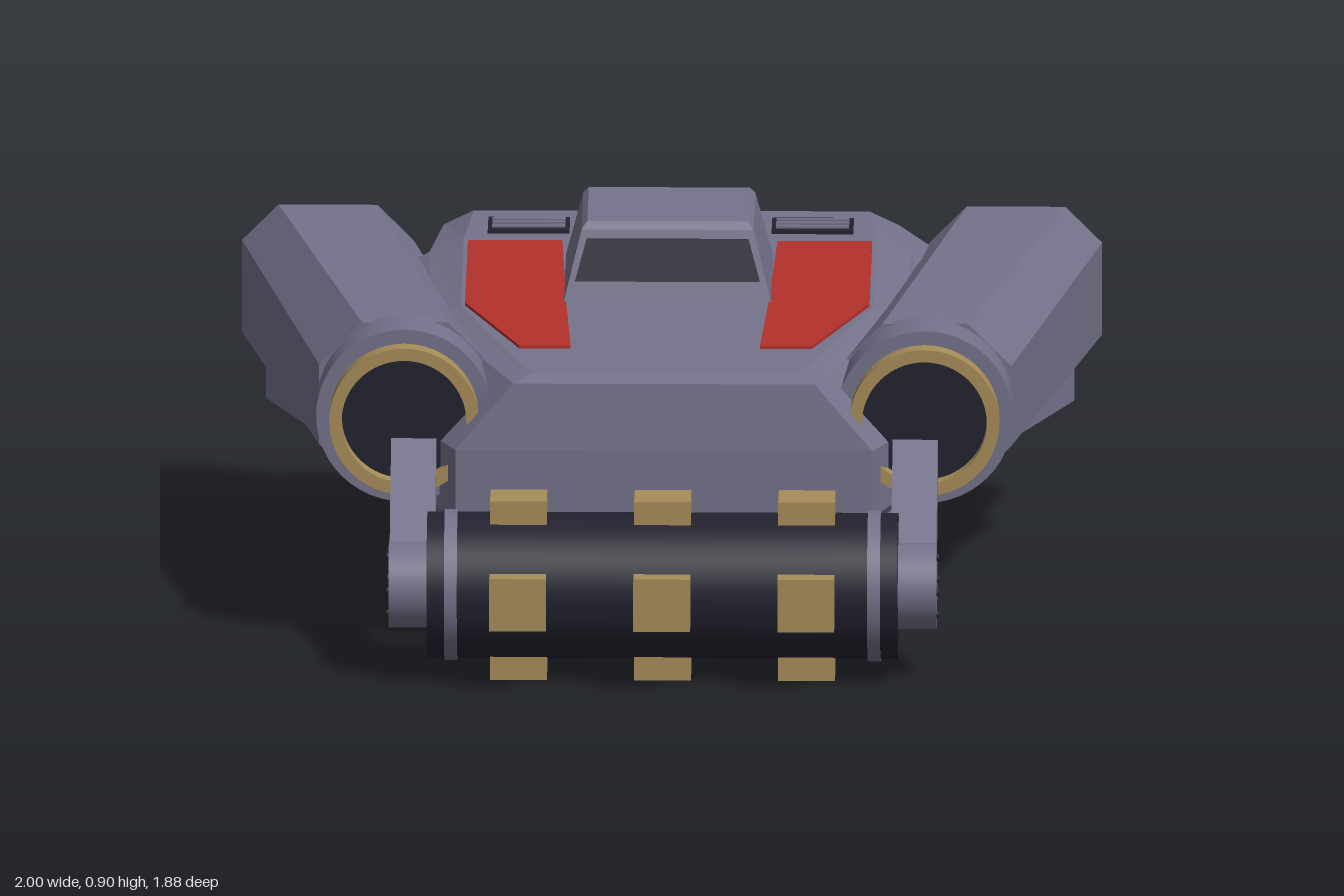
import * as THREE from 'three';

const mat = (name, color) => Object.assign(new THREE.MeshStandardMaterial({ color }), { name });

// Flat-shaded loft through rings of [x, y, z]; caps are strips joining point i to n-1-i
function loft(rings) {
  const n = rings[0].length, tris = [];
  const quad = (a, b, c, d) => tris.push([a, b, c], [a, c, d]);
  for (let r = 0; r < rings.length - 1; r++)
    for (let i = 0; i < n; i++) {
      const j = (i + 1) % n;
      quad(rings[r][i], rings[r][j], rings[r + 1][j], rings[r + 1][i]);
    }
  const first = rings[0], last = rings[rings.length - 1];
  for (let i = 0; i < n / 2 - 1; i++) {
    quad(first[n - 1 - i], first[n - 2 - i], first[i + 1], first[i]);
    quad(last[i], last[i + 1], last[n - 2 - i], last[n - 1 - i]);
  }
  // Turn all faces outward using the signed volume
  let volume = 0;
  const v = (p) => new THREE.Vector3(...p);
  for (const [a, b, c] of tris) volume += v(a).dot(v(b).cross(v(c)));
  if (volume < 0) tris.forEach((t) => t.reverse());
  const geo = new THREE.BufferGeometry();
  geo.setAttribute('position', new THREE.Float32BufferAttribute(tris.flat(2), 3));
  geo.computeVertexNormals();
  return geo;
}

// Closed symmetric ring from one side's points
const mirrored = (half) => [...half, ...half.slice().reverse().map(([x, y, z]) => [-x, y, z])];

// Height of the sloping deck
const deckY = (z) => (z > -0.6 ? 0.695 - 0.067 * (z + 0.02) : 0.734 - 0.02 * (z + 0.6));

export function createModel() {
  const grey = mat('hull grey', 0x74728a);
  const dark = mat('dark rubber', 0x222230);
  const gold = mat('brass', 0xa68c58);
  const red = mat('red paint', 0xb2302a);

  const model = new THREE.Group();
  model.name = 'rollerVehicle';
  const add = (name, geo, material, x = 0, y = 0, z = 0, parent = model) => {
    const mesh = new THREE.Mesh(geo, material);
    mesh.name = name;
    mesh.position.set(x, y, z);
    parent.add(mesh);
    return mesh;
  };
  const box = (w, h, d) => new THREE.BoxGeometry(w, h, d);
  const drumX = (r, len, sides = 40) => new THREE.CylinderGeometry(r, r, len, sides).rotateZ(Math.PI / 2);
  const drumZ = (r, len, sides = 48) => new THREE.CylinderGeometry(r, r, len, sides).rotateX(Math.PI / 2);

  // Hull: underside, belt, shoulder and deck outlines
  add('hull', loft([
    mirrored([[0.46, 0.285, 0.48], [0.7, 0.322, -0.04], [0.94, 0.35, -0.6], [0.62, 0.35, -0.94]]),
    mirrored([[0.485, 0.33, 0.53], [0.7, 0.36, -0.04], [0.94, 0.37, -0.6], [0.62, 0.37, -0.94]]),
    mirrored([[0.485, 0.49, 0.53], [0.7, 0.49, -0.04], [0.94, 0.49, -0.6], [0.62, 0.485, -0.94]]),
    mirrored([[0.35, 0.645, 0.515], [0.55, 0.67, -0.06], [0.56, 0.7, -0.6], [0.53, 0.7, -0.885]]),
    mirrored([[0.31, deckY(0.48), 0.48], [0.48, deckY(-0.06), -0.06], [0.48, deckY(-0.6), -0.6], [0.46, deckY(-0.86), -0.86]]),
  ]), grey);

  // Cabin with windscreen
  const cabinRect = (w, z0, y0, z1, y1) => mirrored([[w, y0, z0], [w, y1, z1]]);
  add('cabin', loft([
    cabinRect(0.247, -0.065, 0.68, -0.485, 0.7),
    cabinRect(0.2, -0.125, 0.865, -0.425, 0.885),
    cabinRect(0.187, -0.14, 0.882, -0.41, 0.9),
  ]), grey);
  const windscreen = (dz) => mirrored([[0.188, 0.845, -0.1185 + dz], [0.215, 0.75, -0.0877 + dz]]);
  add('windscreen', loft([windscreen(0.004), windscreen(-0.004)]), dark);

  // Octagonal section of an engine pod
  const octagon = (cx, z, c) => {
    const a = 0.2, b = 0.195;
    return [[a, b - c], [a - c, b], [c - a, b], [-a, b - c], [-a, c - b], [c - a, -b], [a - c, -b], [a, c - b]]
      .map(([x, y]) => [cx + x, 0.545 + y, z]);
  };
  const ringShape = new THREE.Shape().absarc(0, 0, 0.174, 0, Math.PI * 2);
  ringShape.holes.push(new THREE.Path().absarc(0, 0, 0.145, 0, Math.PI * 2, true));
  const ringGeo = new THREE.ExtrudeGeometry(ringShape, { depth: 0.055, bevelEnabled: false, curveSegments: 32 });

  const roller = new THREE.Group();
  roller.name = 'frontRoller';
  roller.position.set(0, 0.215, 0.73);
  model.add(roller);

  for (const s of [1, -1]) {
    const side = s > 0 ? 'left' : 'right';

    // Engine pod, collar and intake
    const rear = octagon(0.8, -0.91, 0.085), front = octagon(0.605, 0.3, 0.1);
    add(side + 'Pod', loft([rear, front].map((r) => r.map(([x, y, z]) => [s * x, y, z]))), grey);
    add(side + 'PodCollar', drumZ(0.205, 0.16), grey, s * 0.605, 0.548, 0.35);
    add(side + 'IntakeRing', ringGeo, gold, s * 0.605, 0.546, 0.428);
    add(side + 'Intake', drumZ(0.147, 0.008), dark, s * 0.605, 0.546, 0.432);

    // Painted deck panel
    const outline = [[0.25, -0.56], [0.235, -0.06], [0.22, 0.28], [0.34, 0.28], [0.47, -0.06], [0.47, -0.56]];
    const level = (dy) => outline.map(([x, z]) => [s * x, deckY(z) + dy, z]);
    add(side + 'DeckPanel', loft([level(-0.002), level(0.007)]), red);

    // Slatted vent
    add(side + 'Vent', box(0.19, 0.01, 0.135), dark, s * 0.33, 0.738, -0.71);
    for (let i = 0; i < 3; i++)
      add(side + 'VentSlat', box(0.17, 0.012, 0.016), grey, s * 0.33, 0.742, -0.745 + i * 0.035);

    // Roller arm, hub, hub bolts and end band
    const arm = add(side + 'RollerArm', box(0.105, 0.125, 0.4), grey, s * 0.583, 0.33, 0.565);
    arm.rotation.x = 0.61;
    add(side + 'Hub', drumX(0.1, 0.09), grey, s * 0.592, 0, 0, roller);
    for (let i = 0; i < 4; i++) {
      const a = i * Math.PI / 2;
      add(side + 'HubBolt', drumX(0.008, 0.008, 8), dark, s * 0.638, 0.068 * Math.sin(a), 0.068 * Math.cos(a), roller);
    }
    add(side + 'RollerBand', drumX(0.176, 0.03), grey, s * 0.492, 0, 0, roller);
  }

  // Roller drum with four rows of tread blocks
  add('rollerDrum', drumX(0.17, 1.095), dark, 0, 0, 0, roller);
  for (let i = 0; i < 4; i++) {
    const a = i * Math.PI / 2;
    for (const x of [-0.335, 0, 0.335]) {
      const block = add('treadBlock', box(0.132, 0.06, 0.125), gold, x, 0.183 * Math.cos(a), 0.183 * Math.sin(a), roller);
      block.rotation.x = a;
    }
  }

  // Bolted service hatch
  add('serviceHatch', box(0.265, 0.012, 0.195), grey, 0, 0.738, -0.66);
  for (const x of [-0.09, 0.09])
    for (const z of [-0.715, -0.6])
      add('hatchBolt', new THREE.CylinderGeometry(0.008, 0.008, 0.008, 8), dark, x, 0.745, z);

  return model;
}
